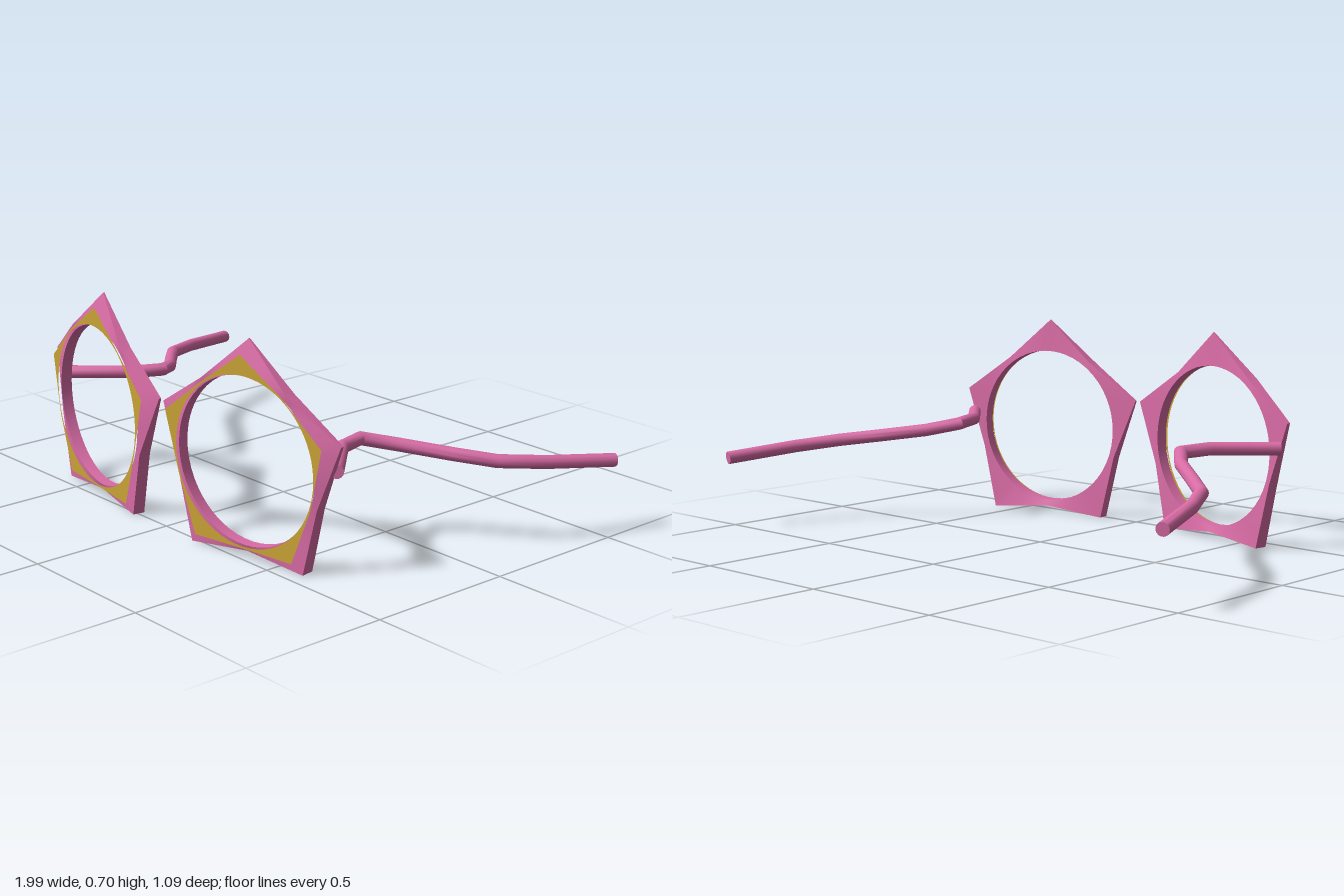
import * as THREE from 'three';
import { mergeVertices, toCreasedNormals } from 'three/addons/utils/BufferGeometryUtils.js';

const CX = 0.375, CY = 0.315; // centre of each lens opening
const STEPS = 6;              // samples per half edge of the pentagon

// Skin a list of closed rings of points; flip mirrors x and the winding.
function loft(rings, flip, crease) {
  const pos = [];
  const put = (...pts) => {
    if (flip) pts.reverse();
    pts.forEach(p => pos.push(flip ? -p.x : p.x, p.y, p.z));
  };
  for (let i = 0; i < rings.length - 1; i++) {
    const n = rings[i].length;
    for (let j = 0; j < n; j++) {
      const k = (j + 1) % n;
      const a = rings[i][j], b = rings[i][k], c = rings[i + 1][k], d = rings[i + 1][j];
      if (a.distanceTo(b) > 1e-6) put(a, b, c);
      if (c.distanceTo(d) > 1e-6) put(a, c, d);
    }
  }
  const g = new THREE.BufferGeometry();
  g.setAttribute('position', new THREE.Float32BufferAttribute(pos, 3));
  return toCreasedNormals(mergeVertices(g), crease);
}

// Pentagon outline with edges pinched at the middle: [x, y, thickness, back shift]
function outline(corners, pinch) {
  const keys = [];
  corners.forEach((c, i) => {
    const d = corners[(i + 1) % corners.length];
    const a = Math.atan2((c[1] + d[1]) / 2 - CY, (c[0] + d[0]) / 2 - CX);
    keys.push(c, [CX + pinch * Math.cos(a), CY + pinch * Math.sin(a), 0.038, (c[3] + d[3]) / 2]);
  });
  const out = [];
  keys.forEach((p, i) => {
    const q = keys[(i + 1) % keys.length];
    for (let s = 0; s < STEPS; s++) out.push(p.map((v, m) => v + (q[m] - v) * s / STEPS));
  });
  return out;
}

// Round opening sampled at the same angles as the outline
const opening = (pts, r) => pts.map(([x, y]) => {
  const a = Math.atan2(y - CY, x - CX);
  return [CX + r * Math.cos(a), CY + r * Math.sin(a), 0.038, 0];
});

// Place a point on the slanted lens plane, lifted along its normal
const onPlane = (x, y, lift) =>
  new THREE.Vector3(x + 0.155 * lift, y, 0.447 - 0.155 * (x - CX) + lift);

function rimGeometry(flip) {
  const outer = outline([
    [0.725, 0.43, 0.012, 0], [0.37, 0.70, 0.004, 0.007], [0.01, 0.43, 0.008, 0],
    [0.15, 0, 0.04, -0.005], [0.6, 0, 0.045, -0.01]], 0.293);
  const inner = opening(outer, 0.272);
  const back = l => l.map(([x, y, , b]) => onPlane(x, y, b));
  const front = l => l.map(([x, y, t, b]) => onPlane(x, y, b + t));
  return loft([back(outer), front(outer), front(inner), back(inner), back(outer)], flip, 0.45);
}

function plateGeometry(flip) {
  const outer = outline([
    [0.68, 0.42, 0, 0], [0.365, 0.655, 0, 0], [0.055, 0.42, 0, 0],
    [0.175, 0.032, 0, 0], [0.565, 0.032, 0, 0]], 0.281);
  const lift = l => l.map(([x, y]) => onPlane(x, y, 0.048));
  return loft([lift(outer), lift(opening(outer, 0.275))], flip, 0.45);
}

function templeGeometry(flip) {
  const r = 0.022, sides = 14, up = new THREE.Vector3(0, 1, 0);
  const path = [
    [0.698, 0.345, 0.395], [0.54, 0.347, 0.23], [0.505, 0.343, 0.12], [0.58, 0.322, 0.03],
    [0.715, 0.3, -0.08], [0.82, 0.284, -0.17], [0.895, 0.269, -0.31], [0.976, 0.245, -0.543],
  ].map(p => new THREE.Vector3(...p));
  const rings = path.map((p, i) => {
    const before = p.clone().sub(path[Math.max(i - 1, 0)]).normalize();
    const after = path[Math.min(i + 1, path.length - 1)].clone().sub(p).normalize();
    const t = before.clone().add(after).normalize();
    const miter = 1 / Math.max(t.dot(after), t.dot(before)); // keeps width through bends
    const side = up.clone().cross(t).normalize();
    const rise = t.clone().cross(side);
    return Array.from({ length: sides }, (_, j) => {
      const a = j / sides * Math.PI * 2;
      return p.clone().addScaledVector(side, r * miter * Math.cos(a)).addScaledVector(rise, r * Math.sin(a));
    });
  });
  const cap = p => Array.from({ length: sides }, () => p.clone());
  return loft([cap(path[0]), ...rings, cap(path[path.length - 1])], flip, 0.75);
}

export function createModel() {
  const pink = new THREE.MeshStandardMaterial({ color: 0xd96ca6 });
  pink.name = 'pink';
  const gold = new THREE.MeshStandardMaterial({ color: 0xc9a336, side: THREE.DoubleSide });
  gold.name = 'gold';

  const model = new THREE.Group();
  model.name = 'glasses';
  for (const [label, flip] of [['left', false], ['right', true]]) {
    const half = new THREE.Group();
    half.name = label + 'Half';
    const add = (name, geometry, material) => {
      const mesh = new THREE.Mesh(geometry, material);
      mesh.name = label + name;
      half.add(mesh);
    };
    add('Rim', rimGeometry(flip), pink);
    add('FrontPlate', plateGeometry(flip), gold);
    add('Temple', templeGeometry(flip), pink);
    model.add(half);
  }
  return model;
}
